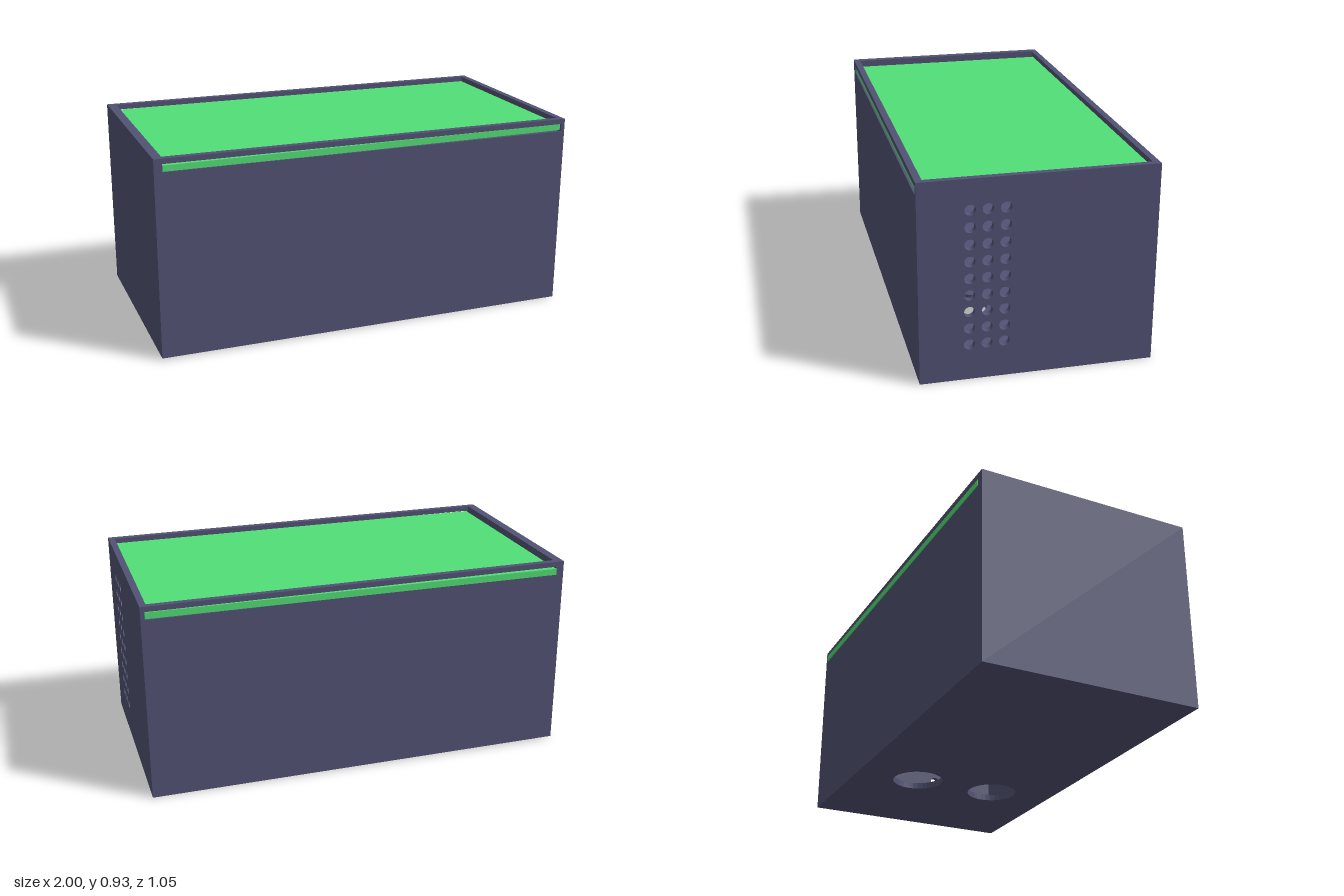
import * as THREE from 'three';

// Outer box and inner cavity limits
const W = 0.998, H = 0.92, ZF = 0.523, ZB = -0.521;
const INNER = new THREE.Box3(
  new THREE.Vector3(-0.957, 0.03, -0.491),
  new THREE.Vector3(0.968, H, 0.492)
);

function rect(x0, y0, x1, y1, Type = THREE.Shape) {
  const s = new Type();
  s.moveTo(x0, y0);
  s.lineTo(x1, y0);
  s.lineTo(x1, y1);
  s.lineTo(x0, y1);
  s.closePath();
  return s;
}

const circle = (x, y, r) => new THREE.Path().absarc(x, y, r, 0, Math.PI * 2, true);

// Wall panel: extruded outline whose inner face is clamped to the cavity, giving mitred corners
function panel(name, material, shape, holes, turnX, turnY, position) {
  shape.holes.push(...holes);
  const depth = 0.02;
  const geo = new THREE.ExtrudeGeometry(shape, { depth, bevelEnabled: false, curveSegments: 16 });
  const pos = geo.attributes.position;
  const inner = Array.from({ length: pos.count }, (_, i) => pos.getZ(i) < depth / 2);
  geo.translate(0, 0, -depth);
  geo.rotateX(turnX).rotateY(turnY).translate(...position);
  const v = new THREE.Vector3();
  for (let i = 0; i < pos.count; i++) {
    if (!inner[i]) continue;
    INNER.clampPoint(v.fromBufferAttribute(pos, i), v);
    pos.setXYZ(i, v.x, v.y, v.z);
  }
  geo.computeVertexNormals();
  const mesh = new THREE.Mesh(geo, material);
  mesh.name = name;
  return mesh;
}

export function createModel() {
  const model = new THREE.Group();
  model.name = 'ventedBox';
  const shell = new THREE.MeshStandardMaterial({ color: 0x525274 });
  const green = new THREE.MeshStandardMaterial({ color: 0x52de76 });

  // Open-topped case, leaning very slightly to one side
  const body = new THREE.Group();
  body.name = 'case';
  body.rotation.z = -0.004;
  body.position.set(-0.002, 0.004, 0);
  model.add(body);

  // Front and back walls with a long slot for the sliding lid
  const slot = (x0, x1) => rect(x0, 0.86, x1, 0.896, THREE.Path);
  body.add(panel('frontWall', shell, rect(-W, 0, W, H), [slot(-0.96, 0.98)], 0, 0, [0, 0, ZF]));
  body.add(panel('backWall', shell, rect(-W, 0, W, H), [slot(-0.98, 0.96)], 0, Math.PI, [0, 0, ZB]));

  // Side wall with a 3 x 9 grid of round vents
  const vents = [];
  for (let row = 0; row < 9; row++)
    for (let col = 0; col < 3; col++)
      vents.push(circle(-(0.305 - 0.0007 * row - 0.0765 * col), 0.167 + 0.077 * row, 0.024));
  body.add(panel('ventedSideWall', shell, rect(-ZF, 0, -ZB, H), vents, 0, Math.PI / 2, [W, 0, 0]));
  body.add(panel('plainSideWall', shell, rect(ZB, 0, ZF, H), [], 0, -Math.PI / 2, [-W, 0, 0]));

  // Floor with two large round openings
  const openings = [-0.205, 0.21].map(z => circle(0.37, z, 0.124));
  body.add(panel('floor', shell, rect(-W, ZB, W, ZF), openings, Math.PI / 2, 0, [0, 0, 0]));

  // Level lid sheet passing through both slots
  const lid = new THREE.Mesh(new THREE.BoxGeometry(1.94, 0.03, 1.04), green);
  lid.name = 'slidingLid';
  lid.position.set(0.01, 0.88, -0.004);
  model.add(lid);

  return model;
}
